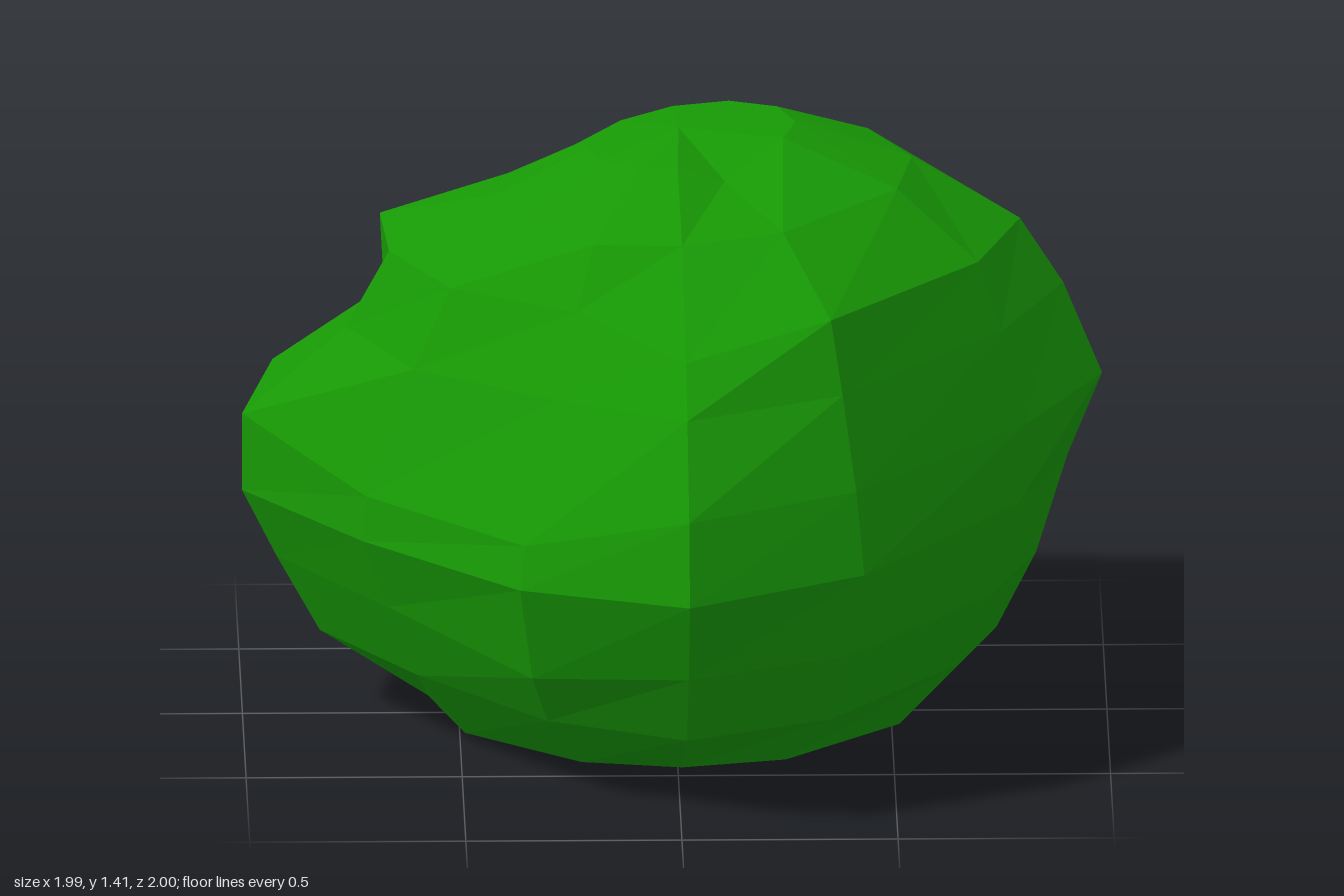
import * as THREE from 'three';

// Column directions around the bush, in degrees from +x towards +z
const ANGLES = [0, 25, 64, 89, 113, 149, 180, 204, 236, 270, 300, 331];
const CENTRE_Z = -0.07;

// Radius per column at the widest level and at the three levels above it
const GIRTH = [0.91, 0.87, 0.97, 1.07, 0.95, 0.85, 1, 1.01, 0.87, 0.93, 0.94, 0.93];
const SHOULDER = [0.99, 0.89, 0.93, 1.02, 0.92, 0.84, 1, 1.01, 0.85, 0.9, 0.96, 0.97];
const LEDGE = [0.9, 0.83, 0.86, 0.9, 0.73, 0.71, 0.76, 0.73, 0.75, 0.71, 0.85, 0.9];
const BROW = [0.8, 0.77, 0.8, 0.8, 0.6, 0.61, 0.66, 0.74, 0.67, 0.63, 0.66, 0.71];

// Cross-sections from the ground up: height, lean (rise per unit of x),
// radius by column and direction, and lift (extra height of single columns)
const RINGS = [
  { y: 0.02, lean: 0, radius: () => 0.57 },
  { y: 0.18, lean: 0, radius: (j) => GIRTH[j] * 0.82 },
  { y: 0.36, lean: 0, radius: (j) => GIRTH[j] * 0.92, lift: { 4: -0.05 } },
  { y: 0.56, lean: 0.04, radius: (j) => GIRTH[j] },
  { y: 0.75, lean: 0.045, radius: (j) => SHOULDER[j], lift: { 4: -0.09, 5: -0.08 } },
  { y: 0.96, lean: 0.06, radius: (j) => LEDGE[j], lift: { 8: -0.09, 9: 0.07, 10: 0.05 } },
  { y: 1.13, lean: 0.05, radius: (j) => BROW[j], lift: { 3: -0.06 } },
  { y: 1.27, lean: 0.09, radius: (j, cos, sin) => 0.48 + 0.07 * cos + 0.05 * sin },
  { y: 1.37, lean: 0.13, radius: (j, cos) => 0.24 + 0.04 * cos, lift: { 2: -0.05 } },
];

function bushGeometry() {
  const n = ANGLES.length;
  const positions = [];
  const index = [];

  for (const { y, lean, radius, lift = {} } of RINGS) {
    ANGLES.forEach((deg, j) => {
      const a = THREE.MathUtils.degToRad(deg);
      const cos = Math.cos(a), sin = Math.sin(a);
      const r = radius(j, cos, sin);
      positions.push(r * cos, y + lean * r * cos + (lift[j] ?? 0), CENTRE_Z + r * sin);
    });
  }
  const apex = RINGS.length * n;
  const base = apex + 1;
  positions.push(0.01, 1.4, -0.05, 0, 0, 0);

  for (let j = 0; j < n; j++) {
    const k = (j + 1) % n;
    // Side faces between neighbouring rings
    for (let i = 0; i < RINGS.length - 1; i++) {
      const a = i * n + j, b = i * n + k;
      index.push(a, a + n, b, b, a + n, b + n);
    }
    // Crown and underside fans
    const top = (RINGS.length - 1) * n;
    index.push(top + j, apex, top + k);
    index.push(j, k, base);
  }

  const indexed = new THREE.BufferGeometry();
  indexed.setAttribute('position', new THREE.Float32BufferAttribute(positions, 3));
  indexed.setIndex(index);
  const geometry = indexed.toNonIndexed();
  geometry.computeVertexNormals();
  return geometry;
}

export function createModel() {
  const group = new THREE.Group();
  group.name = 'bush';

  const material = new THREE.MeshStandardMaterial({ color: 0x179805, flatShading: true });
  const foliage = new THREE.Mesh(bushGeometry(), material);
  foliage.name = 'foliage';
  group.add(foliage);
  return group;
}
